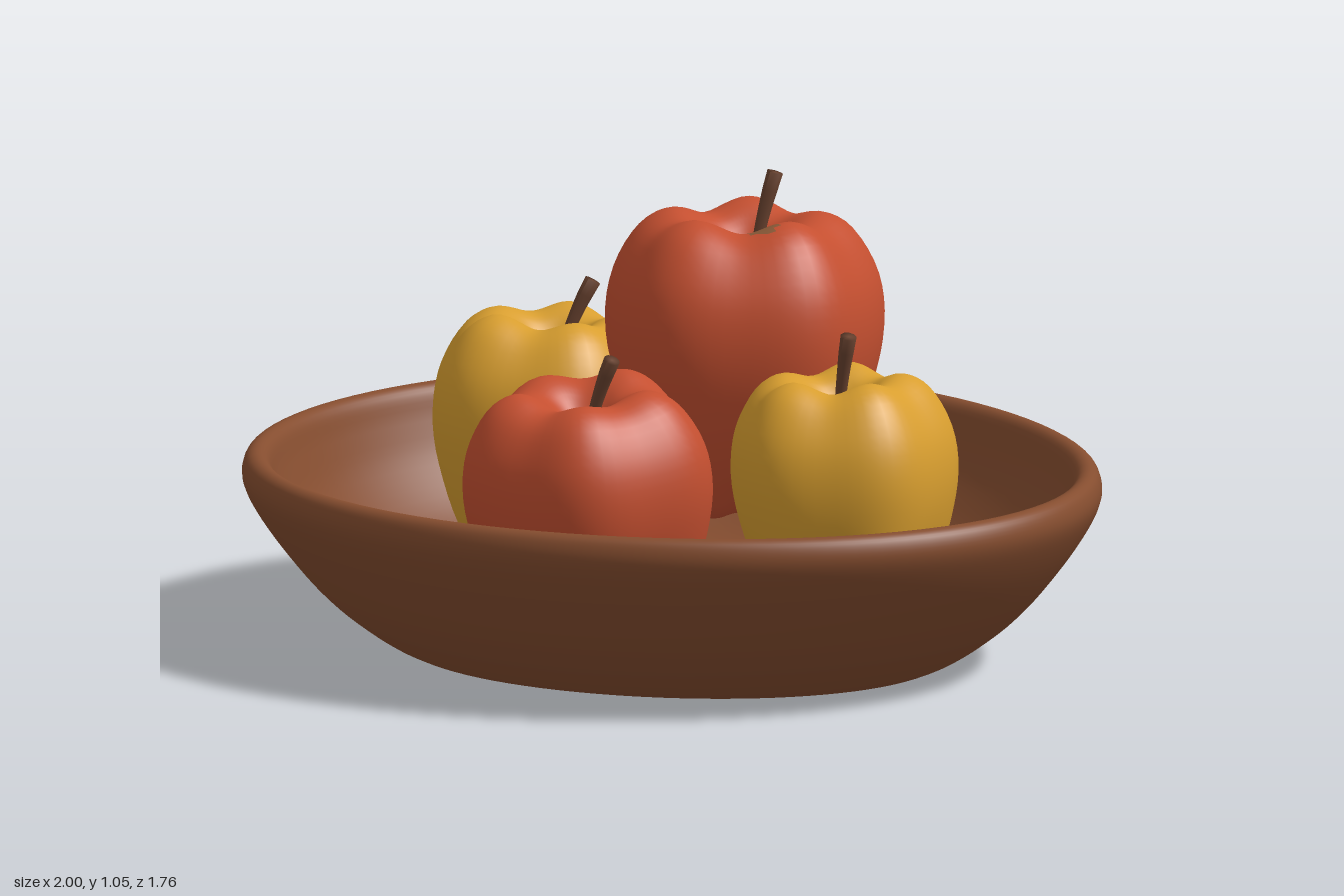
import * as THREE from 'three';
import { mergeVertices } from 'three/addons/utils/BufferGeometryUtils.js';

const material = (name, color) => {
  const m = new THREE.MeshStandardMaterial({ color });
  m.name = name;
  return m;
};

// Smooth a profile, revolve it, bend every vertex by a rule and weld the seam.
function turned(points, steps, sides, rule) {
  const curve = new THREE.SplineCurve(points.map(([x, y]) => new THREE.Vector2(x, y)));
  const profile = curve.getPoints(steps).map(p => new THREE.Vector2(Math.max(p.x, 0), p.y));
  profile[0].x = profile[steps].x = 0;
  let geo = new THREE.LatheGeometry(profile, sides);
  const pos = geo.attributes.position;
  const v = new THREE.Vector3();
  for (let i = 0; i < pos.count; i++) {
    rule(v.fromBufferAttribute(pos, i));
    pos.setXYZ(i, v.x, v.y, v.z);
  }
  geo.deleteAttribute('uv');
  geo.deleteAttribute('normal');
  geo = mergeVertices(geo, 1e-5);
  geo.computeVertexNormals();
  return geo;
}

// Bowl: foot, flared wall, rounded rim and hollow, on an egg-shaped plan.
function bowlGeometry() {
  const profile = [
    [0, 0.005], [0.3, 0.004], [0.58, 0.002], [0.65, 0.012], [0.74, 0.065], [0.83, 0.14],
    [0.92, 0.245], [0.975, 0.325], [0.998, 0.38], [0.99, 0.422], [0.965, 0.436], [0.938, 0.42],
    [0.915, 0.36], [0.87, 0.27], [0.78, 0.17], [0.66, 0.105], [0.45, 0.08], [0.2, 0.075], [0, 0.075],
  ];
  return turned(profile, 90, 96, v => {
    const r = Math.hypot(v.x, v.z) || 1;
    v.x -= 0.08 * r * (v.z / r) ** 2;
    v.z *= 0.88;
    v.y *= 1 - 0.02 * v.z;
  });
}

// Apple: five lobes, strongest on the shoulders and round the base.
const appleProfile = [
  [0, -0.8], [0.14, -0.92], [0.28, -0.98], [0.48, -0.88], [0.74, -0.55], [0.92, -0.12], [0.99, 0.25],
  [0.94, 0.58], [0.76, 0.86], [0.54, 0.97], [0.33, 0.92], [0.16, 0.76], [0, 0.6],
];
function appleRule(phase) {
  return v => {
    const a = Math.atan2(v.z, v.x);
    const lobe = Math.cos(5 * (a - phase));
    const r = Math.hypot(v.x, v.z);
    const end = Math.abs(v.y);
    const s = 1 + lobe * (0.035 + 0.02 * end) + 0.015 * Math.cos(2 * a + phase);
    v.x *= s;
    v.z *= s;
    v.y += Math.sign(v.y) * end * end * Math.min(r * 2, 1) * (0.035 * lobe + 0.015 * Math.sin(3 * a + phase));
  };
}

// Stem: a bent tube that widens to a flat closed tip.
function stemGeometry(base, tip) {
  const a = new THREE.Vector3(...base), b = new THREE.Vector3(...tip);
  const mid = a.clone().lerp(b, 0.5);
  mid.x += (a.x - b.x) * 0.22;
  mid.z += (a.z - b.z) * 0.22;
  const curve = new THREE.QuadraticBezierCurve3(a, mid, b);
  const rings = 12, sides = 10;
  const geo = new THREE.TubeGeometry(curve, rings, 1, sides);
  const pos = geo.attributes.position;
  const v = new THREE.Vector3();
  for (let i = 0; i < pos.count; i++) {
    const ring = Math.floor(i / (sides + 1));
    const centre = curve.getPointAt(ring / rings);
    const size = ring === rings ? 0 : 0.012 + 0.008 * (ring / rings) ** 2;
    v.fromBufferAttribute(pos, i).sub(centre).multiplyScalar(size);
    v.add(ring >= rings - 1 ? b : centre);
    pos.setXYZ(i, v.x, v.y, v.z);
  }
  geo.computeVertexNormals();
  return geo;
}

export function createModel() {
  const red = material('red skin', 0xc44f30);
  const yellow = material('yellow skin', 0xd89e2f);
  const clay = material('brown bowl', 0x854d2f);
  const bark = material('stem brown', 0x6a4330);
  const russet = material('russet', 0x8a5a38);

  const model = new THREE.Group();
  model.name = 'fruitBowl';
  const add = (parent, name, geo, mat) => {
    const mesh = new THREE.Mesh(geo, mat);
    mesh.name = name;
    parent.add(mesh);
    return mesh;
  };

  add(model, 'bowl', bowlGeometry(), clay);

  // Centre, radius, half height, lobe direction in degrees, lean, stem ends.
  const apples = [
    { name: 'largeRedApple', skin: red, at: [0, 0.61, -0.22], r: 0.305, h: 0.34, turn: 90, lean: [-0.03, 0],
      base: [0.035, 0.8, -0.205], tip: [0.075, 1.05, -0.24] },
    { name: 'frontRedApple', skin: red, at: [0.125, 0.385, 0.48], r: 0.273, h: 0.305, turn: 54, lean: [0.1, 0],
      base: [0.14, 0.555, 0.515], tip: [0.225, 0.77, 0.53] },
    { name: 'rightYellowApple', skin: yellow, at: [-0.46, 0.375, -0.1], r: 0.268, h: 0.305, turn: 105, lean: [-0.06, 0],
      base: [-0.475, 0.545, -0.155], tip: [-0.415, 0.745, -0.205] },
    { name: 'leftYellowApple', skin: yellow, at: [0.41, 0.365, -0.06], r: 0.25, h: 0.295, turn: 97, lean: [0, 0.03],
      base: [0.385, 0.53, -0.075], tip: [0.435, 0.755, -0.05] },
  ];
  for (const a of apples) {
    const group = new THREE.Group();
    group.name = a.name;
    const geo = turned(appleProfile, 48, 60, appleRule(THREE.MathUtils.degToRad(a.turn)));
    geo.scale(a.r, a.h, a.r);
    geo.rotateX(a.lean[0]);
    geo.rotateZ(a.lean[1]);
    geo.translate(...a.at);
    add(group, 'skin', geo, a.skin);
    add(group, 'stem', stemGeometry(a.base, a.tip), bark);
    model.add(group);

    // Russet blemish: a few faces of the large apple's hollow.
    if (a.name === 'largeRedApple') {
      const pos = geo.attributes.position, all = Array.from(geo.index.array);
      const clean = [], spot = [];
      for (let i = 0; i < all.length; i += 3) {
        const tri = all.slice(i, i + 3);
        const x = tri.reduce((s, k) => s + pos.getX(k), 0) / 3;
        const y = tri.reduce((s, k) => s + pos.getY(k), 0) / 3;
        const z = tri.reduce((s, k) => s + pos.getZ(k), 0) / 3;
        const inside = y > 0.75 && ((x - 0.11) / 0.042) ** 2 + ((z + 0.145) / 0.026) ** 2 < 1;
        (inside ? spot : clean).push(...tri);
      }
      geo.setIndex([...clean, ...spot]);
      geo.addGroup(0, clean.length, 0);
      geo.addGroup(clean.length, spot.length, 1);
      group.children[0].material = [red, russet];
    }
  }
  return model;
}
